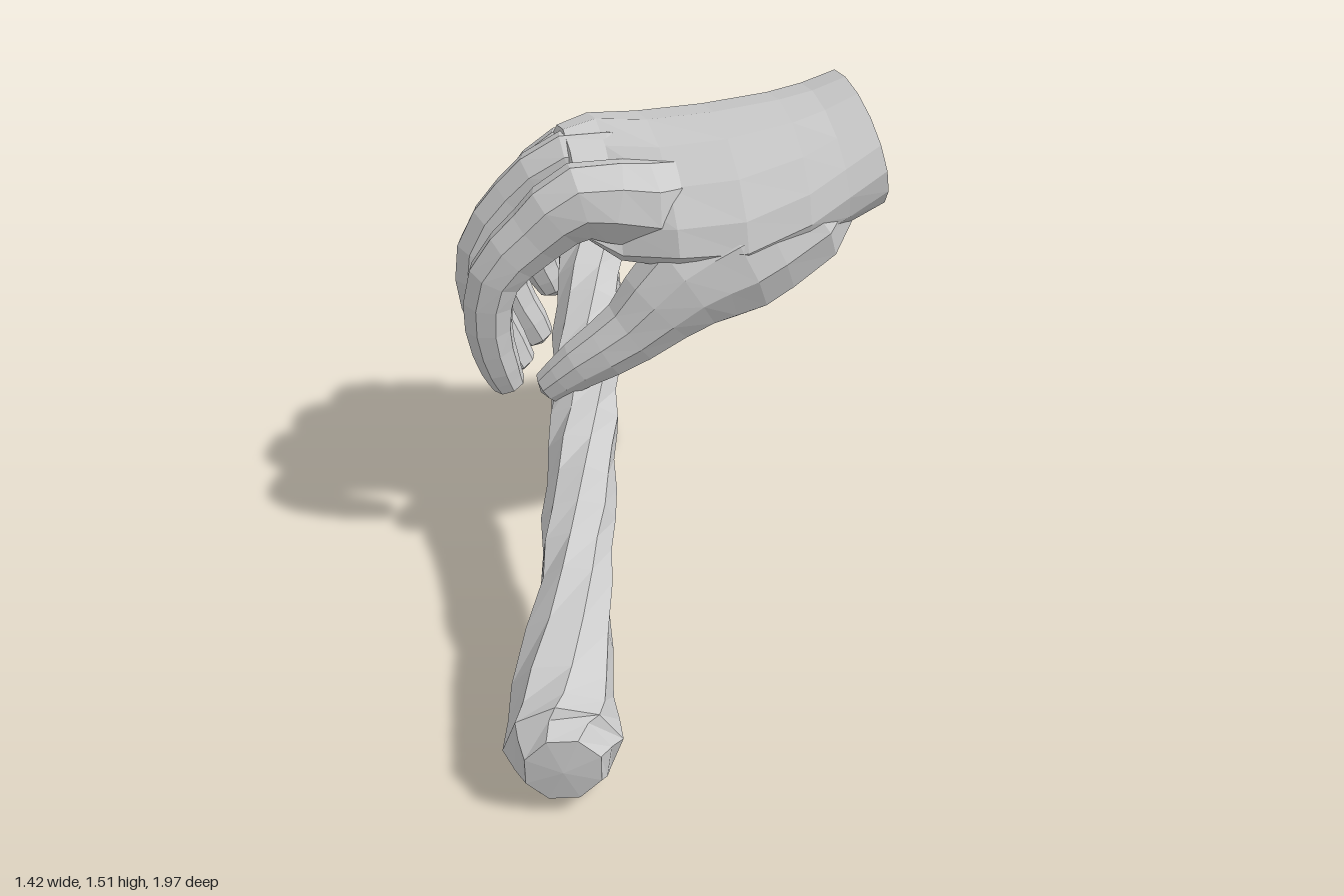
import * as THREE from 'three';

const material = new THREE.MeshStandardMaterial({ color: 0xcccccc, flatShading: true });
const V = (x, y, z) => new THREE.Vector3(x, y, z);

// Skin a list of rings (counter-clockwise about the direction of travel) and close both ends on a pole.
function loft(name, rings, startPole, endPole) {
  const sides = rings[0].length;
  const points = [...rings.flat(), startPole, endPole];
  const index = [];
  const at = (i, j) => i * sides + (j % sides);
  for (let i = 0; i < rings.length - 1; i++) {
    for (let j = 0; j < sides; j++) {
      const a = at(i, j), b = at(i, j + 1), c = at(i + 1, j + 1), d = at(i + 1, j);
      index.push(a, b, c, a, c, d);
    }
  }
  const s = points.length - 2, e = points.length - 1, last = rings.length - 1;
  for (let j = 0; j < sides; j++) {
    index.push(s, at(0, j + 1), at(0, j), e, at(last, j), at(last, j + 1));
  }
  const geometry = new THREE.BufferGeometry().setFromPoints(points);
  geometry.setIndex(index);
  geometry.computeVertexNormals();
  const mesh = new THREE.Mesh(geometry, material);
  mesh.name = name;
  return mesh;
}

// Tapered limb through [x, y, z, radius] stations; up sets where the first ring corner points.
function limb(name, stations, { sides = 8, steps = 2, twist = 0, wobble = 0, up = V(0.13, 0.2, 1), round = 0.5 } = {}) {
  const curve = new THREE.CatmullRomCurve3(stations.map(([x, y, z]) => V(x, y, z)));
  const count = (stations.length - 1) * steps;
  const rings = [];
  const normal = up.clone();
  let first, last;
  for (let i = 0; i <= count; i++) {
    const t = i / count;
    const k = Math.min(Math.floor(i / steps), stations.length - 2);
    const r = THREE.MathUtils.lerp(stations[k][3], stations[k + 1][3], i / steps - k);
    const centre = curve.getPoint(t), tangent = curve.getTangent(t);
    normal.addScaledVector(tangent, -normal.dot(tangent)).normalize();
    const side = tangent.clone().cross(normal);
    const bump = wobble * Math.sin(Math.PI * t);
    rings.push(Array.from({ length: sides }, (_, j) => {
      const a = (j / sides) * Math.PI * 2 + Math.PI / sides + twist * t;
      const rr = r * (1 + bump * Math.sin(i * 2.4 + j * 1.9));
      return centre.clone()
        .addScaledVector(normal, Math.cos(a) * rr)
        .addScaledVector(side, Math.sin(a) * rr);
    }));
    if (i === 0) first = centre.clone().addScaledVector(tangent, -r * 0.1);
    if (i === count) last = centre.clone().addScaledVector(tangent, r * round);
  }
  return loft(name, rings, first, last);
}

// Palm and wrist: arched oval sections from the cut wrist to the knuckles.
function palm() {
  // x, centre y, centre z, half height, half width, drop at the sides
  const sections = [
    [0.655, 1.31, -0.385, 0.2, 0.29, 0],
    [0.53, 1.27, -0.385, 0.205, 0.32, 0.02],
    [0.4, 1.25, -0.385, 0.205, 0.355, 0.06],
    [0.2, 1.23, -0.41, 0.195, 0.405, 0.1],
    [0, 1.24, -0.46, 0.16, 0.415, 0.12],
    [-0.15, 1.26, -0.52, 0.135, 0.375, 0.16],
    [-0.26, 1.3, -0.48, 0.085, 0.29, 0.14],
  ];
  const sides = 16;
  const rings = sections.map(([x, cy, cz, ry, rz, drop], i) => {
    const slant = i === 0 ? 0.22 : i === 1 ? 0.12 : 0;
    return Array.from({ length: sides }, (_, j) => {
      const a = (j / sides) * Math.PI * 2;
      const up = Math.cos(a) * ry, across = Math.sin(a);
      return V(x - up * slant, cy + up - drop * across * across, cz - across * rz);
    });
  });
  return loft('palm', rings, V(0.655, 1.31, -0.385), V(-0.28, 1.28, -0.48));
}

export function createModel() {
  const group = new THREE.Group();
  group.name = 'handHoldingStick';

  const hand = new THREE.Group();
  hand.name = 'hand';
  hand.add(palm());

  // Thumb, with its fleshy base running back to the wrist
  hand.add(limb('thumb', [
    [0.54, 1.25, -0.33, 0.13], [0.4, 1.14, -0.21, 0.18], [0.2, 1.05, -0.185, 0.2],
    [0.04, 0.98, -0.165, 0.165], [-0.13, 0.84, -0.15, 0.11],
    [-0.29, 0.74, -0.16, 0.08], [-0.39, 0.66, -0.18, 0.055],
  ], { sides: 10 }));

  // Fingers curl from the knuckles down around the stick
  const fingers = {
    indexFinger: [
      [0.2, 1.23, -0.32, 0.1], [-0.06, 1.22, -0.24, 0.14], [-0.26, 1.25, -0.24, 0.12],
      [-0.4, 1.15, -0.25, 0.098], [-0.525, 1.02, -0.26, 0.085], [-0.55, 0.85, -0.27, 0.075],
      [-0.52, 0.7, -0.28, 0.065], [-0.495, 0.63, -0.285, 0.052]],
    middleFinger: [
      [-0.05, 1.26, -0.44, 0.11], [-0.25, 1.28, -0.46, 0.105], [-0.41, 1.16, -0.49, 0.095],
      [-0.525, 1.0, -0.5, 0.086], [-0.53, 0.82, -0.5, 0.078], [-0.47, 0.67, -0.49, 0.068],
      [-0.43, 0.59, -0.48, 0.055]],
    ringFinger: [
      [-0.05, 1.22, -0.63, 0.11], [-0.23, 1.22, -0.66, 0.1], [-0.36, 1.1, -0.68, 0.088],
      [-0.44, 0.95, -0.68, 0.08], [-0.43, 0.78, -0.665, 0.074], [-0.37, 0.65, -0.65, 0.066],
      [-0.34, 0.59, -0.64, 0.054]],
    littleFinger: [
      [0.03, 1.15, -0.74, 0.1], [-0.13, 1.14, -0.81, 0.105], [-0.24, 1.05, -0.86, 0.09],
      [-0.295, 0.93, -0.86, 0.078], [-0.3, 0.8, -0.83, 0.068], [-0.27, 0.72, -0.81, 0.06],
      [-0.255, 0.68, -0.8, 0.048]],
  };
  for (const [name, stations] of Object.entries(fingers)) hand.add(limb(name, stations));
  group.add(hand);

  // Gnarled stick, thicker at both ends
  group.add(limb('stick', [
    [-0.575, 0.155, 0.965, 0.11], [-0.557, 0.158, 0.87, 0.163], [-0.525, 0.215, 0.72, 0.145],
    [-0.43, 0.335, 0.42, 0.108], [-0.375, 0.425, 0.21, 0.107], [-0.32, 0.515, 0, 0.107],
    [-0.27, 0.61, -0.2, 0.107], [-0.22, 0.7, -0.4, 0.107], [-0.17, 0.79, -0.6, 0.107],
    [-0.12, 0.88, -0.78, 0.112], [-0.09, 0.93, -0.88, 0.124], [-0.085, 0.945, -0.965, 0.085],
  ], { twist: 3.2, wobble: 0.07, up: V(0, 1, 0), round: 0.2 }));

  return group;
}
